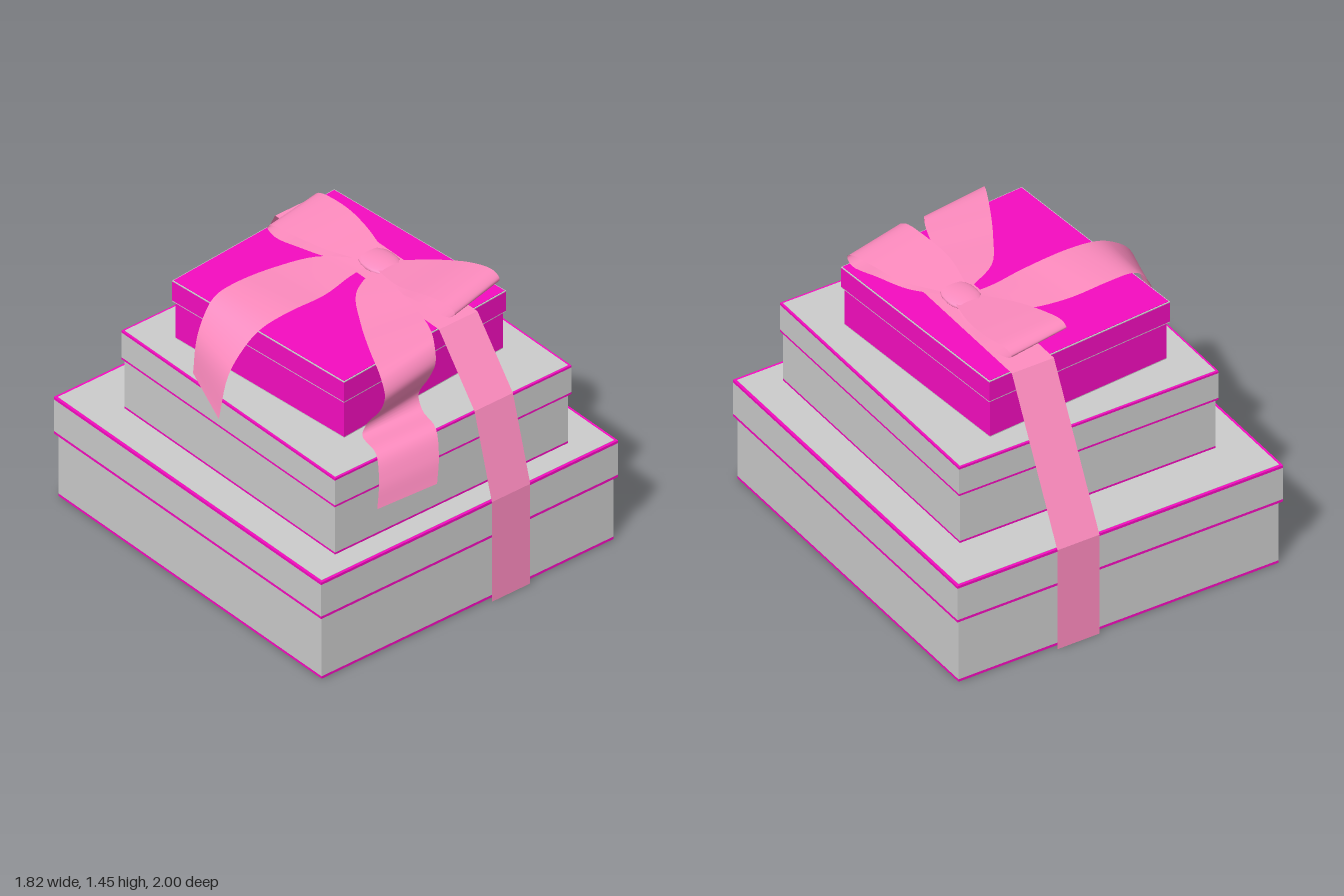
import * as THREE from 'three';

const grey = new THREE.MeshStandardMaterial({ color: 0xcccccc, side: THREE.DoubleSide });
const magenta = new THREE.MeshStandardMaterial({ color: 0xf50cc0, side: THREE.DoubleSide });
const pink = new THREE.MeshStandardMaterial({ color: 0xff8cc0, side: THREE.DoubleSide });

function add(parent, name, geometry, material) {
  const mesh = new THREE.Mesh(geometry, material);
  mesh.name = name;
  parent.add(mesh);
  return mesh;
}

// Solid slab of width w and depth d between heights y0 and y1
function slab(parent, name, w, d, y0, y1, material) {
  add(parent, name, new THREE.BoxGeometry(w, y1 - y0, d), material).position.y = (y0 + y1) / 2;
}

// Four thin walls, open above and below
function walls(parent, name, w, d, y0, y1, material) {
  const g = new THREE.CylinderGeometry(Math.SQRT1_2, Math.SQRT1_2, 1, 4, 1, true).toNonIndexed();
  g.rotateY(Math.PI / 4).scale(w, y1 - y0, d).translate(0, (y0 + y1) / 2, 0);
  g.computeVertexNormals();
  add(parent, name, g, material);
}

// Gift box: trimmed walls with an overhanging, trimmed lid
function giftBox(name, { w, d, y, lidY, top, trim, body, edge, overhang }) {
  const box = new THREE.Group();
  box.name = name;
  const iw = w - overhang * 2, id = d - overhang * 2;
  walls(box, 'wallTrim', iw, id, y, y + trim, edge);
  walls(box, 'walls', iw, id, y + trim, lidY, body);
  slab(box, 'lidLowerTrim', w, d, lidY, lidY + trim, edge);
  slab(box, 'lid', w, d, lidY + trim, top - trim, body);
  slab(box, 'lidUpperTrim', w, d, top - trim, top, edge);
  slab(box, 'lidTop', w - trim * 2, d - trim * 2, top - trim / 2, top + 0.002, body);
  return box;
}

// Ribbon surface between two edges; each row is [ax, ay, az, bx, by, bz]
function ribbon(parent, name, rows, smooth = true) {
  const edges = [0, 3].map((k) => rows.map((r) => new THREE.Vector3(r[k], r[k + 1], r[k + 2])));
  const n = smooth ? (rows.length - 1) * 5 : rows.length - 1;
  const curves = edges.map((e) => new THREE.CatmullRomCurve3(e, false, 'centripetal'));
  let g = new THREE.PlaneGeometry(1, 1, 1, n);
  for (let i = 0; i <= n; i++) {
    for (let k = 0; k < 2; k++) {
      const p = smooth ? curves[k].getPoint(i / n) : edges[k][i];
      g.attributes.position.setXYZ(i * 2 + k, p.x, p.y, p.z);
    }
  }
  if (!smooth) g = g.toNonIndexed();
  g.computeVertexNormals();
  add(parent, name, g, pink);
}

export function createModel() {
  const model = new THREE.Group();
  model.name = 'giftStack';

  // Three stacked boxes, the smallest slightly turned
  const large = giftBox('largeBox', {
    w: 1.82, d: 1.974, y: 0, lidY: 0.36, top: 0.57, trim: 0.014, body: grey, edge: magenta, overhang: 0.016 });
  const medium = giftBox('mediumBox', {
    w: 1.45, d: 1.575, y: 0.572, lidY: 0.855, top: 1.02, trim: 0.011, body: grey, edge: magenta, overhang: 0.011 });
  medium.position.z = 0.077;
  const small = giftBox('smallBox', {
    w: 1.068, d: 1.159, y: 1.022, lidY: 1.235, top: 1.355, trim: 0.005, body: magenta, edge: grey, overhang: 0.011 });
  small.position.set(-0.004, 0, 0.028);
  small.rotation.y = 0.081;
  model.add(large, medium, small);

  // Strap running over the stack from front to back
  const strap = [[0, 1], [0.575, 1], [1.03, 0.872], [1.36, 0.61], [1.36, -0.6], [0.575, -1], [0, -1]];
  ribbon(model, 'strap', strap.map(([y, z]) => [0.125, y, z, 0.36, y, z]), false);

  const bow = new THREE.Group();
  bow.name = 'bow';
  model.add(bow);

  // Loops: out along the top, around the tip and back underneath
  ribbon(bow, 'frontLoop', [
    [0.18, 1.395, 0.09, 0.31, 1.395, 0.09],
    [0.15, 1.42, 0.28, 0.45, 1.42, 0.25],
    [0.18, 1.45, 0.47, 0.52, 1.45, 0.40],
    [0.20, 1.45, 0.58, 0.55, 1.45, 0.50],
    [0.21, 1.42, 0.625, 0.555, 1.42, 0.54],
    [0.20, 1.385, 0.59, 0.55, 1.385, 0.51],
    [0.17, 1.39, 0.42, 0.50, 1.39, 0.36],
    [0.16, 1.375, 0.25, 0.42, 1.375, 0.22],
    [0.18, 1.38, 0.09, 0.31, 1.38, 0.09]]);
  ribbon(bow, 'backLoop', [
    [0.17, 1.395, -0.03, 0.31, 1.395, -0.03],
    [0.08, 1.415, -0.18, 0.35, 1.415, -0.2],
    [0.02, 1.435, -0.34, 0.36, 1.435, -0.36],
    [-0.01, 1.44, -0.46, 0.335, 1.44, -0.52],
    [-0.015, 1.415, -0.49, 0.33, 1.415, -0.55],
    [-0.01, 1.385, -0.44, 0.335, 1.385, -0.50],
    [0.03, 1.38, -0.3, 0.355, 1.375, -0.33],
    [0.09, 1.37, -0.17, 0.34, 1.37, -0.18],
    [0.17, 1.38, -0.03, 0.31, 1.38, -0.03]]);

  // Side tail hanging over the right edge of the small box
  ribbon(bow, 'sideTail', [
    [0.18, 1.385, -0.06, 0.18, 1.385, 0.02],
    [0.05, 1.375, -0.20, 0.06, 1.38, 0.03],
    [-0.16, 1.38, -0.255, -0.12, 1.375, 0.065],
    [-0.40, 1.395, -0.26, -0.36, 1.385, 0.075],
    [-0.53, 1.385, -0.25, -0.52, 1.37, 0.08],
    [-0.60, 1.34, -0.235, -0.62, 1.33, 0.09],
    [-0.67, 1.22, -0.22, -0.75, 1.22, 0.11],
    [-0.71, 1.045, -0.20, -0.83, 1.015, 0.135]]);

  // Front tail curling down onto the medium box and over its edge
  ribbon(bow, 'frontTail', [
    [0.17, 1.385, 0.06, 0.21, 1.385, 0.12],
    [-0.01, 1.385, 0.16, 0.17, 1.38, 0.25],
    [-0.14, 1.375, 0.35, 0.14, 1.375, 0.42],
    [-0.25, 1.375, 0.55, 0.08, 1.375, 0.60],
    [-0.34, 1.36, 0.74, 0.03, 1.36, 0.69],
    [-0.36, 1.29, 0.795, 0.0, 1.29, 0.735],
    [-0.37, 1.2, 0.77, -0.02, 1.2, 0.71],
    [-0.39, 1.1, 0.70, -0.05, 1.1, 0.67],
    [-0.42, 1.045, 0.70, -0.07, 1.045, 0.72],
    [-0.46, 1.035, 0.85, -0.11, 1.035, 0.87],
    [-0.50, 0.93, 0.92, -0.15, 0.93, 0.94],
    [-0.54, 0.81, 0.955, -0.19, 0.81, 0.975]]);

  // Knot: flattened band, slightly fuller in the middle
  const profile = [[0.068, -0.08], [0.085, -0.04], [0.088, 0], [0.085, 0.04], [0.068, 0.08]];
  const knot = new THREE.LatheGeometry(profile.map((p) => new THREE.Vector2(...p)), 20);
  knot.rotateX(Math.PI / 2).scale(1, 0.26, 1);
  add(bow, 'knot', knot, pink).position.set(0.243, 1.386, 0.03);

  return model;
}
